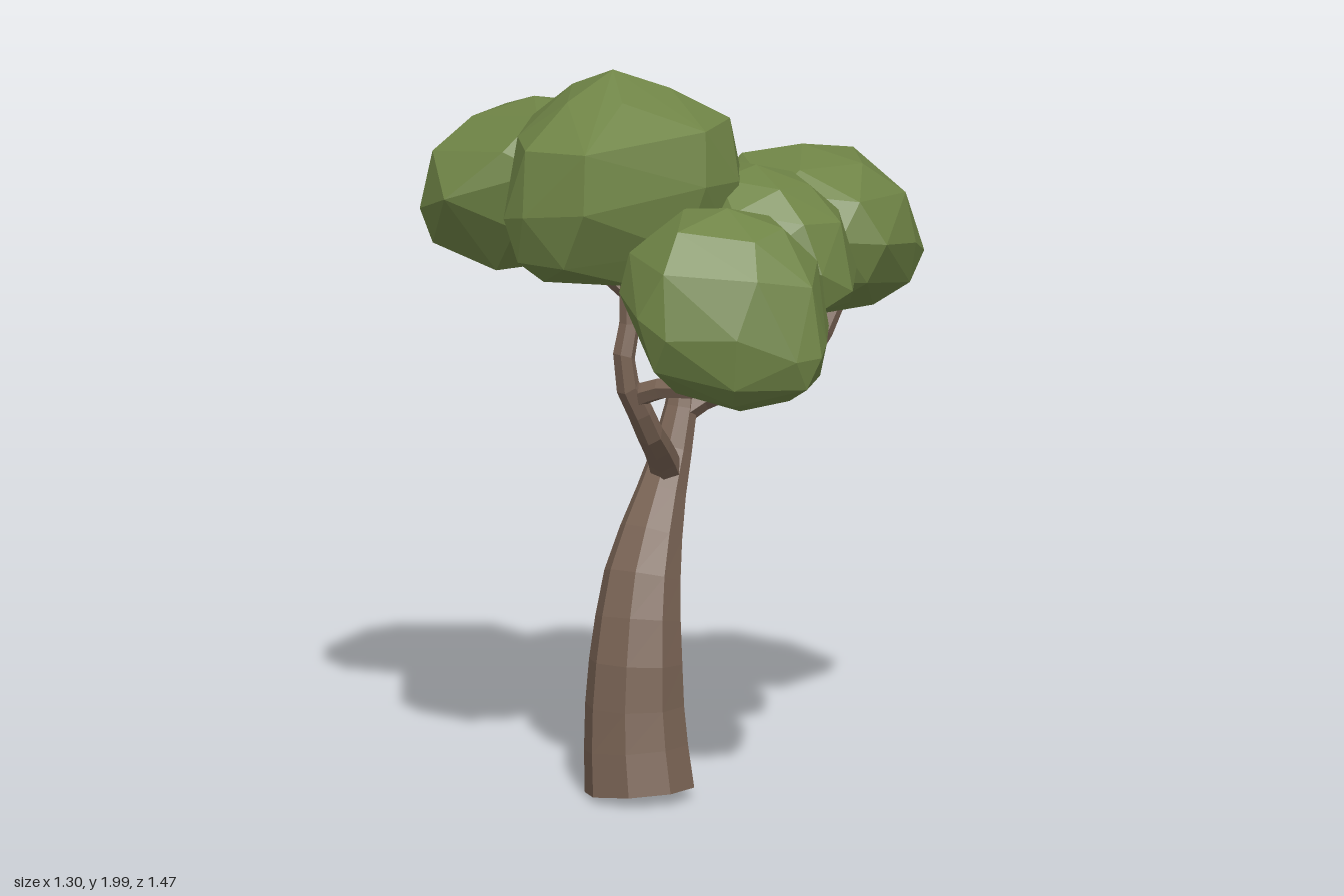
import * as THREE from 'three';
import { ConvexGeometry } from 'three/addons/geometries/ConvexGeometry.js';

const bark = new THREE.MeshStandardMaterial({ color: 0x7a6455, flatShading: true, side: THREE.DoubleSide });
const leaf = new THREE.MeshStandardMaterial({ color: 0x6f8446, flatShading: true });

// Small seeded noise in -1..1
let seed = 7;
const noise = () => {
  seed = (seed * 16807) % 2147483647;
  return (seed / 2147483647) * 2 - 1;
};

function addMesh(group, name, geometry, material) {
  const mesh = new THREE.Mesh(geometry, material);
  mesh.name = name;
  group.add(mesh);
}

// Tapered limb; each path point is [x, y, z, radius]
function limb(path, sides, segments) {
  const curve = new THREE.CatmullRomCurve3(path.map(([x, y, z]) => new THREE.Vector3(x, y, z)));
  const geometry = new THREE.TubeGeometry(curve, segments, 1, sides);
  const pos = geometry.attributes.position;
  const v = new THREE.Vector3();
  for (let i = 0; i <= segments; i++) {
    const u = i / segments;
    const centre = curve.getPointAt(u);
    const t = curve.getUtoTmapping(u) * (path.length - 1);
    const k = Math.min(Math.floor(t), path.length - 2);
    const r = THREE.MathUtils.lerp(path[k][3], path[k + 1][3], t - k);
    for (let j = 0; j <= sides; j++) {
      const n = i * (sides + 1) + j;
      v.fromBufferAttribute(pos, n).sub(centre).multiplyScalar(r).add(centre);
      pos.setXYZ(n, v.x, v.y, v.z);
    }
  }
  return geometry;
}

// Flat cap over the first ring of a limb
function baseCap(tube, sides) {
  const ring = [...Array(sides).keys()].map((j) => new THREE.Vector3().fromBufferAttribute(tube.attributes.position, j));
  const points = [];
  for (let j = 1; j < sides - 1; j++) points.push(ring[0], ring[j], ring[j + 1]);
  const geometry = new THREE.BufferGeometry().setFromPoints(points);
  geometry.computeVertexNormals();
  return geometry;
}

// Rings between waist and tip of a clump: [level, scale, corner count]
const ROUND = [[0.5, 0.9, 7], [0.86, 0.58, 5]];
const PEAKED = [[0.5, 0.92, 8], [0.82, 0.45, 5]];
const BOXY = [[0.62, 0.93, 8], [0.9, 0.7, 5]];

// Faceted leaf clump: a plan outline at the waist, shrinking toward top and bottom
function clump({ outline, low, waist, high, tilt = [0, 0], lean = [0, 0], upper = ROUND, lower = ROUND }) {
  const xs = outline.map((p) => p[0]), zs = outline.map((p) => p[1]);
  const cx = (Math.min(...xs) + Math.max(...xs)) / 2;
  const cz = (Math.min(...zs) + Math.max(...zs)) / 2;
  const n = outline.length;
  const points = [];
  const add = (px, pz, level, scale) => {
    const dx = (px - cx) * scale, dz = (pz - cz) * scale;
    const reach = level > 0 ? high - waist : waist - low;
    const y = waist + level * reach + (1 - Math.abs(level)) * (dx * tilt[0] + dz * tilt[1]);
    const slide = level * Math.abs(level);
    points.push(new THREE.Vector3(cx + dx + slide * lean[0], y, cz + dz + slide * lean[1]));
  };
  outline.forEach(([x, z]) => add(x, z, noise() * 0.1, 1));
  for (const [side, rings] of [[-1, lower], [1, upper]]) {
    for (const [h, scale, count] of rings) {
      const offset = noise();
      for (let i = 0; i < count; i++) {
        const f = (((i + offset) / count) * n + n) % n;
        const a = outline[Math.floor(f) % n], b = outline[(Math.floor(f) + 1) % n], t = f % 1;
        const x = a[0] + (b[0] - a[0]) * t, z = a[1] + (b[1] - a[1]) * t;
        add(x, z, side * (h + noise() * 0.06), scale);
      }
    }
    add(cx, cz, side, 0);
  }
  return new ConvexGeometry(points);
}

export function createModel() {
  const tree = new THREE.Group();
  tree.name = 'tree';

  // Trunk
  const trunk = limb([
    [-0.21, 0.028, 0.03, 0.148], [-0.212, 0.2, 0.011, 0.137], [-0.203, 0.4, 0.004, 0.124],
    [-0.165, 0.6, -0.022, 0.103], [-0.085, 0.8, -0.055, 0.068],
    [-0.03, 0.92, -0.078, 0.052], [0.01, 1.05, -0.092, 0.041], [0.024, 1.13, -0.1, 0.034],
  ], 8, 10);
  addMesh(tree, 'trunk', trunk, bark);
  addMesh(tree, 'trunkBase', baseCap(trunk, 8), bark);

  // Branches
  const branches = {
    frontLimb: [[-0.06, 0.85, -0.06, 0.045], [-0.13, 0.93, 0.01, 0.04], [-0.21, 1.0, 0.085, 0.036],
      [-0.275, 1.1, 0.115, 0.034], [-0.325, 1.2, 0.12, 0.031], [-0.3, 1.3, 0.115, 0.029], [-0.29, 1.5, 0.1, 0.025]],
    frontTwig: [[-0.28, 1.12, 0.11, 0.032], [-0.25, 1.155, 0.19, 0.03], [-0.2, 1.17, 0.3, 0.028],
      [-0.18, 1.21, 0.37, 0.027], [-0.18, 1.32, 0.42, 0.022]],
    sideLimb: [[0.0, 1.01, -0.088, 0.042], [0.07, 1.05, -0.06, 0.036], [0.18, 1.08, -0.01, 0.032],
      [0.3, 1.125, 0.03, 0.03], [0.36, 1.2, 0.045, 0.029], [0.42, 1.32, 0.05, 0.025]],
    rearLimb: [[0.01, 1.05, -0.092, 0.04], [0.027, 1.15, -0.102, 0.036], [0.0, 1.23, -0.13, 0.034],
      [-0.07, 1.31, -0.2, 0.032], [-0.15, 1.42, -0.33, 0.028]],
  };
  for (const [name, path] of Object.entries(branches)) addMesh(tree, name, limb(path, 6, 9), bark);

  // Leaf clumps, outlines in [x, z]
  const clumps = {
    rearClump: { low: 1.35, waist: 1.56, high: 1.82, tilt: [0, 0.42], lean: [0, 0.02],
      outline: [[-0.33, -0.72], [-0.22, -0.74], [-0.15, -0.74], [0, -0.64], [0.09, -0.5], [0.08, -0.46],
        [-0.02, -0.26], [-0.13, -0.21], [-0.35, -0.22], [-0.53, -0.42], [-0.5, -0.58]] },
    crownClump: { low: 1.43, waist: 1.68, high: 2, tilt: [0.08, 0.1], upper: PEAKED, lower: BOXY,
      outline: [[-0.38, -0.24], [-0.05, -0.2], [0.03, -0.13], [0.04, 0.14], [-0.06, 0.28], [-0.2, 0.33],
        [-0.57, 0.3], [-0.65, 0.13], [-0.65, 0.04], [-0.5, -0.13]] },
    frontClump: { low: 1.15, waist: 1.41, high: 1.69, tilt: [0, -0.3], lean: [0, -0.03],
      outline: [[-0.45, 0.29], [-0.32, 0.23], [-0.1, 0.24], [0.05, 0.33], [0.075, 0.45], [0.03, 0.57],
        [-0.05, 0.68], [-0.1, 0.73], [-0.18, 0.73], [-0.33, 0.67], [-0.47, 0.54], [-0.5, 0.45]] },
    middleClump: { low: 1.32, waist: 1.51, high: 1.73, tilt: [-0.3, -0.2], lean: [-0.02, -0.03],
      outline: [[-0.12, 0.03], [0.1, -0.02], [0.22, 0.1], [0.285, 0.25], [0.26, 0.36], [0.16, 0.49],
        [0.05, 0.51], [-0.1, 0.42], [-0.17, 0.28]] },
    sideClump: { low: 1.23, waist: 1.46, high: 1.7, tilt: [-0.25, 0.1], lean: [-0.02, 0],
      outline: [[0.31, -0.33], [0.5, -0.29], [0.58, -0.25], [0.63, -0.13], [0.65, -0.02], [0.65, 0.1],
        [0.57, 0.18], [0.41, 0.28], [0.28, 0.25], [0.14, 0.17], [0.08, 0], [0.14, -0.2]] },
    smallClump: { low: 1.38, waist: 1.57, high: 1.74,
      outline: [[0.1, -0.46], [0.26, -0.39], [0.28, -0.31], [0.2, -0.2], [0.1, -0.14], [-0.02, -0.2],
        [-0.05, -0.3], [0, -0.42]] },
  };
  for (const [name, spec] of Object.entries(clumps)) addMesh(tree, name, clump(spec), leaf);

  return tree;
}
